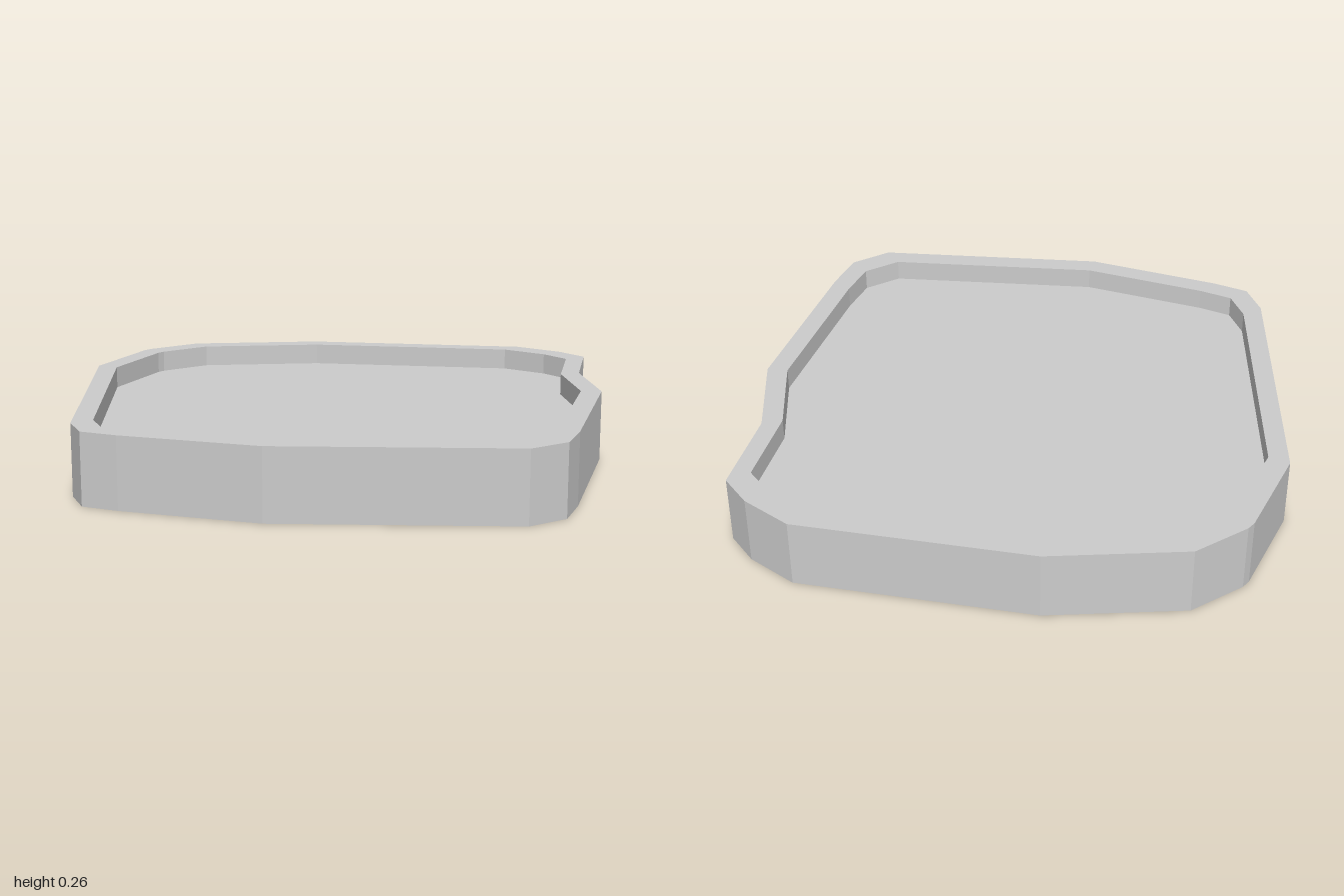
import * as THREE from 'three';

const HEIGHT = 0.265;
const FLOOR = 0.183;
const INSET = 0.922;

// Outline of the tray seen from above, as [x, z]
const OUTLINE = [
  [-0.175, 0.965], [0.705, 0.93], [0.835, 0.83], [0.88, 0.67],
  [1, 0], [0.935, -0.35], [0.975, -0.70], [0.88, -0.805], [0.705, -0.91],
  [-0.175, -0.97], [-0.685, -0.88], [-0.86, -0.735], [-0.88, -0.705],
  [-1, -0.35], [-0.88, 0.68], [-0.82, 0.805], [-0.685, 0.85],
];

const points = (scale) => OUTLINE.map(([x, z]) => new THREE.Vector2(x * scale, -z * scale));

// Extrude a plan shape upwards from the ground
function raise(shape, depth) {
  const geometry = new THREE.ExtrudeGeometry(shape, { depth, bevelEnabled: false });
  return geometry.rotateX(-Math.PI / 2);
}

export function createModel() {
  const group = new THREE.Group();
  group.name = 'tray';
  const grey = new THREE.MeshStandardMaterial({ color: 0xcccccc });
  grey.name = 'light grey';

  // Raised wall with a flat rim
  const wallShape = new THREE.Shape(points(1));
  wallShape.holes.push(new THREE.Path(points(INSET)));
  const wall = new THREE.Mesh(raise(wallShape, HEIGHT), grey);
  wall.name = 'wall';

  // Thick floor filling the wall
  const floor = new THREE.Mesh(raise(new THREE.Shape(points(INSET)), FLOOR), grey);
  floor.name = 'floor';

  group.add(wall, floor);
  return group;
}
